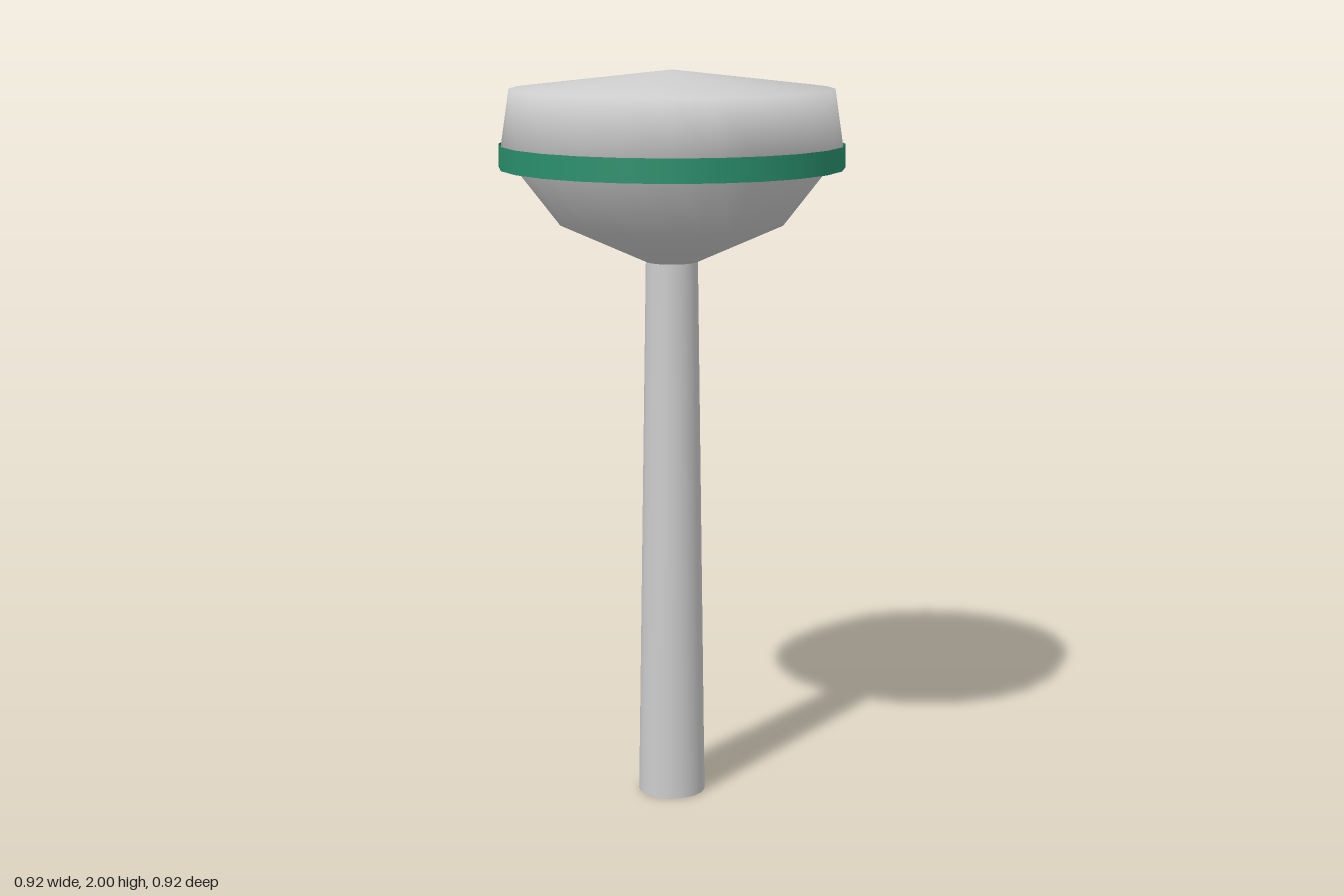
import * as THREE from 'three';

const SEGMENTS = 24;

function addPart(group, name, geometry, y, color = 0xcccccc, side = THREE.FrontSide) {
  const mesh = new THREE.Mesh(geometry, new THREE.MeshStandardMaterial({ color, side }));
  mesh.name = name;
  mesh.position.y = y;
  group.add(mesh);
}

export function createModel() {
  const group = new THREE.Group();
  group.name = 'waterTower';

  // Tapered column
  const columnHeight = 1.5;
  addPart(group, 'column',
    new THREE.CylinderGeometry(0.07, 0.092, columnHeight, SEGMENTS), columnHeight / 2);

  // Tank: flared bowl, slightly inward wall and shallow conical roof, smooth throughout
  const profile = [[0.07, 1.49], [0.305, 1.595], [0.457, 1.79], [0.433, 1.95], [0, 2]]
    .map(([r, y]) => new THREE.Vector2(r, y));
  addPart(group, 'tank',
    new THREE.LatheGeometry(profile, SEGMENTS), 0, 0xcccccc, THREE.DoubleSide);

  // Thin open band around the widest part of the tank
  const bandBottom = 1.742, bandTop = 1.805;
  addPart(group, 'band',
    new THREE.CylinderGeometry(0.462, 0.462, bandTop - bandBottom, SEGMENTS, 1, true),
    (bandBottom + bandTop) / 2, 0x2a8f6d, THREE.DoubleSide);

  return group;
}
